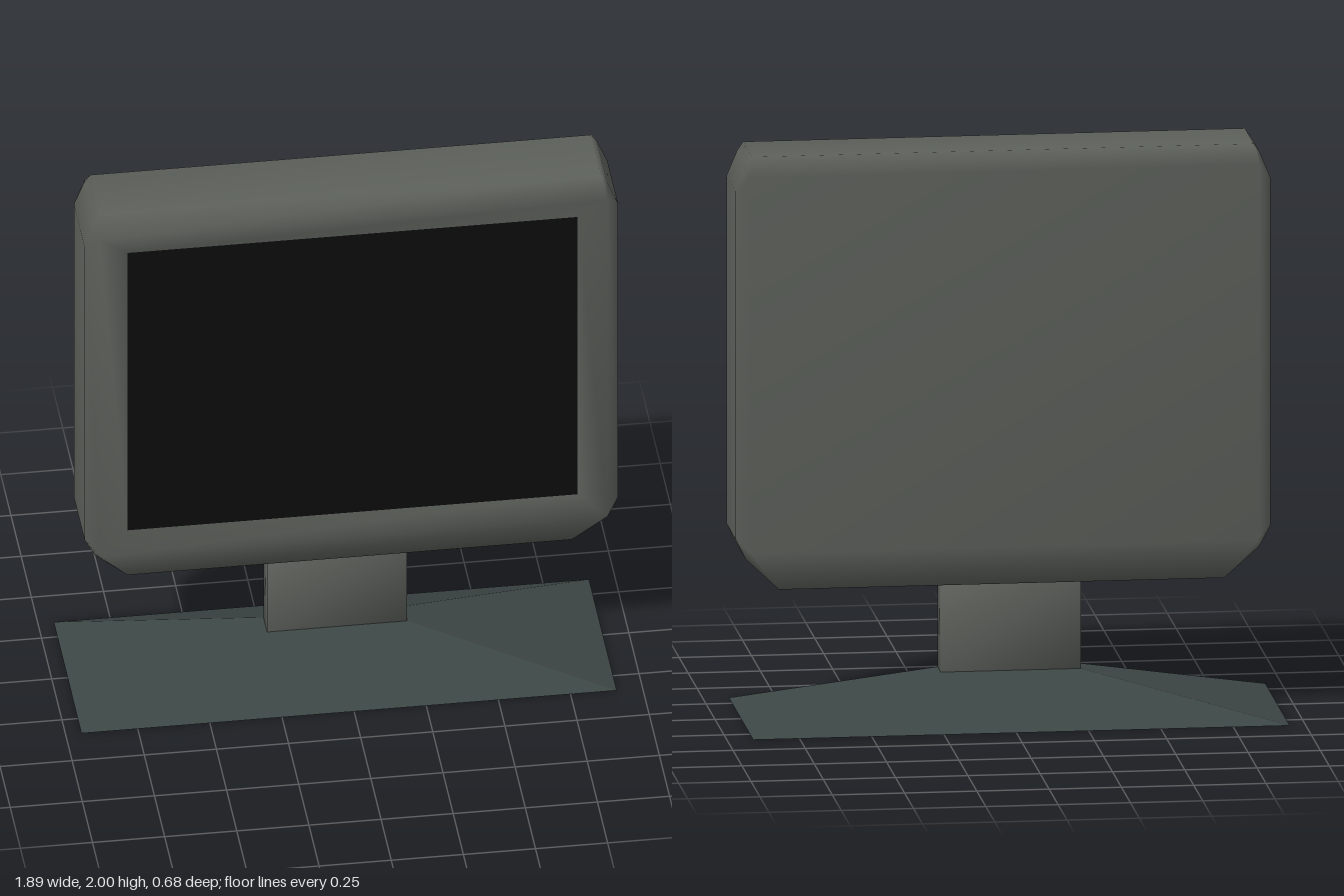
import * as THREE from 'three';
import { mergeVertices } from 'three/addons/utils/BufferGeometryUtils.js';

const bodyMat = new THREE.MeshStandardMaterial({ color: 0x5c605a });
bodyMat.name = 'grey casing';
const baseMat = new THREE.MeshStandardMaterial({ color: 0x3c4644 });
baseMat.name = 'dark green grey base';
const screenMat = new THREE.MeshStandardMaterial({ color: 0x0c0c0c });
screenMat.name = 'black screen';

// right half of the casing rim, from bottom to top: x, y, half depth
const RIM = [
  [0.77, 0.47, 0.09], [0.888, 0.585, 0.12], [0.925, 0.66, 0.13],
  [0.925, 1.88, 0.13], [0.888, 1.97, 0.125], [0.868, 2.0, 0.125],
];
const OFFSET = 0.02; // casing sits slightly to its left
const SCREEN = { x: 0.78, low: 0.705, high: 1.86, z: 0.16 };

// mirror a right-hand profile into a closed counter-clockwise loop
const mirrorLoop = (half) => [...half, ...half.map(([x, y, z]) => [-x, y, z]).reverse()];

// loop with the rim's point count, gathered into four rectangle corners
const rectLoop = (x, low, high, z) =>
  mirrorLoop(RIM.map((p, i) => [x, i < 3 ? low : high, z]));

function smooth(geometry) {
  geometry.deleteAttribute('normal');
  geometry.deleteAttribute('uv');
  const g = mergeVertices(geometry, 1e-4);
  g.computeVertexNormals();
  return g;
}

function casingGeometry() {
  const loops = [
    rectLoop(0.88, 0.62, 1.94, -0.185),
    mirrorLoop(RIM.map(([x, y, z]) => [x, y, -z])),
    mirrorLoop(RIM),
    rectLoop(0.88, 0.62, 1.94, 0.185),
    rectLoop(SCREEN.x, SCREEN.low, SCREEN.high, SCREEN.z),
  ];
  const n = loops[0].length;
  const positions = [];
  const tri = (...pts) => {
    const [a, b, c] = pts.map((p) => new THREE.Vector3(...p));
    const area = b.clone().sub(a).cross(c.clone().sub(a)).length();
    if (area > 1e-6) pts.forEach((p) => positions.push(...p));
  };
  for (let k = 0; k < loops.length - 1; k++) {
    const a = loops[k], b = loops[k + 1];
    for (let i = 0; i < n; i++) {
      const j = (i + 1) % n;
      tri(a[i], a[j], b[j]);
      tri(a[i], b[j], b[i]);
    }
  }
  // flat back
  const [br, tr, tl, bl] = [0, 3, 6, 9].map((i) => loops[0][i]);
  tri(br, bl, tl);
  tri(br, tl, tr);
  const g = new THREE.BufferGeometry();
  g.setAttribute('position', new THREE.Float32BufferAttribute(positions, 3));
  return smooth(g);
}

// box tapered so that its top matches the foot of the neck
function baseGeometry() {
  const g = new THREE.BoxGeometry(1.855, 0.155, 0.68);
  const p = g.attributes.position;
  for (let i = 0; i < p.count; i++) {
    if (p.getY(i) > 0) {
      p.setX(i, Math.sign(p.getX(i)) * 0.2425);
      p.setZ(i, Math.sign(p.getZ(i)) * 0.045);
    }
  }
  g.computeVertexNormals();
  const flat = g.toNonIndexed();
  flat.computeVertexNormals();
  return flat;
}

export function createModel() {
  const group = new THREE.Group();
  group.name = 'monitor';
  const add = (name, geometry, material, x, y, z) => {
    const mesh = new THREE.Mesh(geometry, material);
    mesh.name = name;
    mesh.position.set(x, y, z);
    group.add(mesh);
  };

  add('casing', casingGeometry(), bodyMat, OFFSET, 0, 0);

  const { x, low, high, z } = SCREEN;
  add('screen', new THREE.PlaneGeometry(2 * x, high - low), screenMat, OFFSET, (low + high) / 2, z);

  add('neck', smooth(new THREE.BoxGeometry(0.485, 0.33, 0.09)), bodyMat, -0.0175, 0.315, 0);
  add('base', baseGeometry(), baseMat, -0.0175, 0.0775, 0);
  return group;
}
